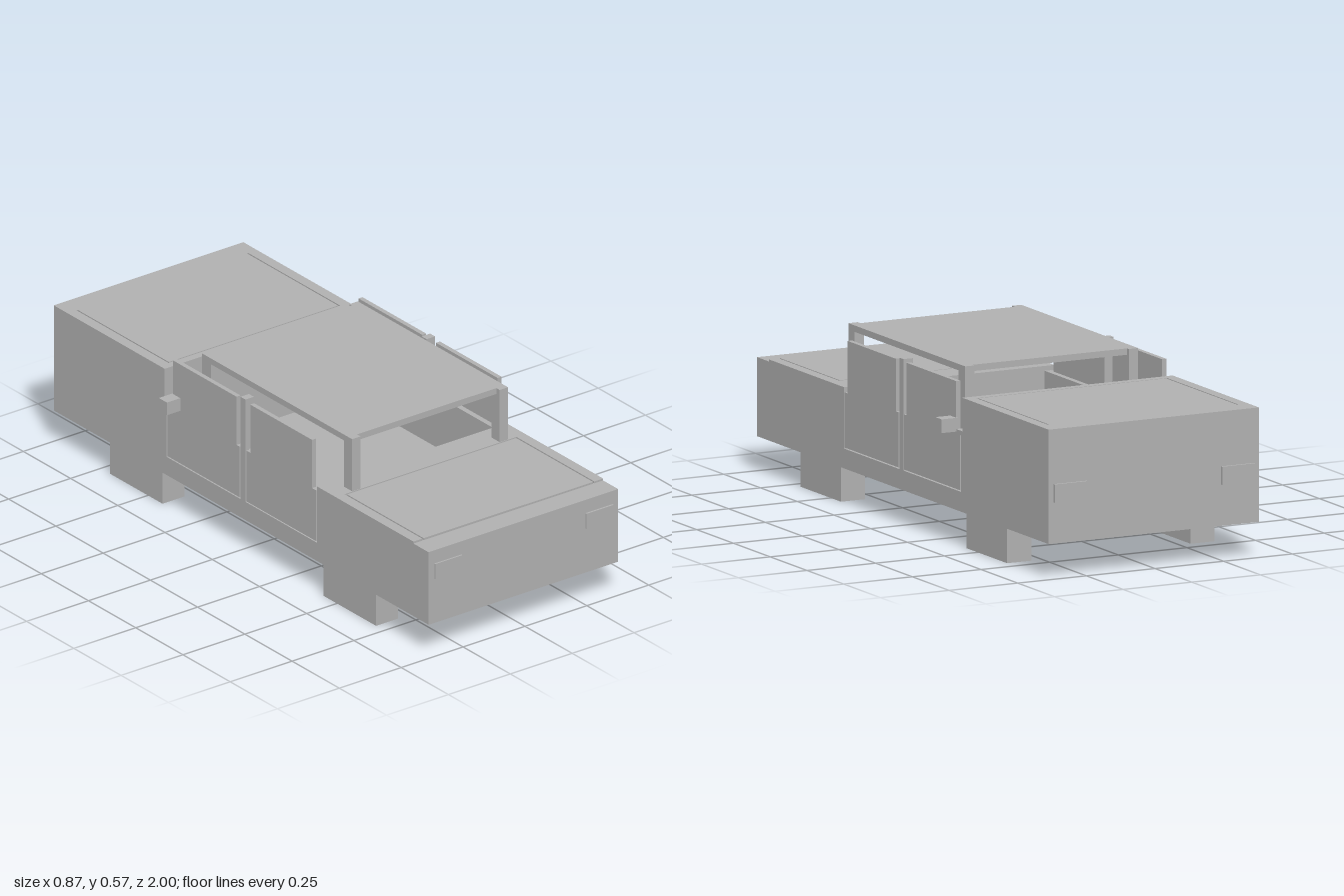
import * as THREE from 'three';

export function createModel() {
  const car = new THREE.Group();
  car.name = 'car';
  const grey = new THREE.MeshStandardMaterial({ color: 0xb0b0b0 });
  grey.name = 'plain grey';

  // Box given by its minimum and maximum along each axis
  function block(name, x0, x1, y0, y1, z0, z1) {
    const mesh = new THREE.Mesh(new THREE.BoxGeometry(x1 - x0, y1 - y0, z1 - z0), grey);
    mesh.position.set((x0 + x1) / 2, (y0 + y1) / 2, (z0 + z1) / 2);
    mesh.name = name;
    car.add(mesh);
  }
  // The same box on both sides
  function pair(name, x0, x1, ...rest) {
    block(name + 'Left', x0, x1, ...rest);
    block(name + 'Right', -x1, -x0, ...rest);
  }

  // Lower body and cabin floor
  block('cabinFloor', -0.383, 0.383, 0.115, 0.18, -0.405, 0.4);
  block('frontBody', -0.383, 0.383, 0.115, 0.374, 0.4, 0.992);
  block('rearBody', -0.383, 0.383, 0.115, 0.484, -0.992, -0.405);

  // Bonnet panel, framed by narrow grooves
  block('bonnet', -0.342, 0.342, 0.374, 0.381, 0.506, 0.912);
  block('cowl', -0.383, 0.383, 0.374, 0.381, 0.4, 0.5);
  pair('frontWing', 0.347, 0.383, 0.374, 0.381, 0.5, 0.912);

  // Boot panel, framed by narrow grooves
  block('bootLid', -0.342, 0.342, 0.484, 0.49, -0.92, -0.437);
  block('rearCowl', -0.383, 0.383, 0.484, 0.49, -0.432, -0.405);
  block('tailDeck', -0.383, 0.383, 0.484, 0.49, -0.992, -0.92);
  pair('rearWing', 0.347, 0.383, 0.484, 0.49, -0.92, -0.432);

  // Cabin sides, doors and door posts
  pair('sideWall', 0.348, 0.372, 0.18, 0.365, -0.405, 0.4);
  pair('rearDoorFrame', 0.348, 0.383, 0.18, 0.38, -0.405, -0.394);
  pair('rearSill', 0.348, 0.383, 0.365, 0.38, -0.394, -0.362);
  pair('frontDoor', 0.367, 0.383, 0.184, 0.365, 0.028, 0.396);
  pair('frontDoorWindow', 0.367, 0.383, 0.365, 0.537, 0.048, 0.375);
  pair('rearDoor', 0.367, 0.383, 0.184, 0.365, -0.39, -0.008);
  pair('rearDoorWindow', 0.367, 0.383, 0.365, 0.537, -0.362, -0.025);
  pair('doorPost', 0.349, 0.383, 0.18, 0.545, -0.004, 0.023);

  // Roof on four corner pillars
  block('roof', -0.315, 0.315, 0.546, 0.567, -0.285, 0.48);
  pair('frontPillar', 0.281, 0.315, 0.38, 0.567, 0.455, 0.498);
  pair('rearPillar', 0.281, 0.315, 0.18, 0.567, -0.297, -0.25);

  // Mirrors, lamps and block wheels
  pair('mirror', 0.38, 0.437, 0.372, 0.417, -0.365, -0.322);
  pair('headlamp', 0.25, 0.36, 0.273, 0.327, 0.99, 0.998);
  pair('tailLamp', 0.245, 0.365, 0.25, 0.31, -1, -0.99);
  pair('frontWheel', 0.29, 0.378, 0, 0.118, 0.43, 0.707);
  pair('rearWheel', 0.29, 0.378, 0, 0.118, -0.7, -0.423);

  return car;
}
